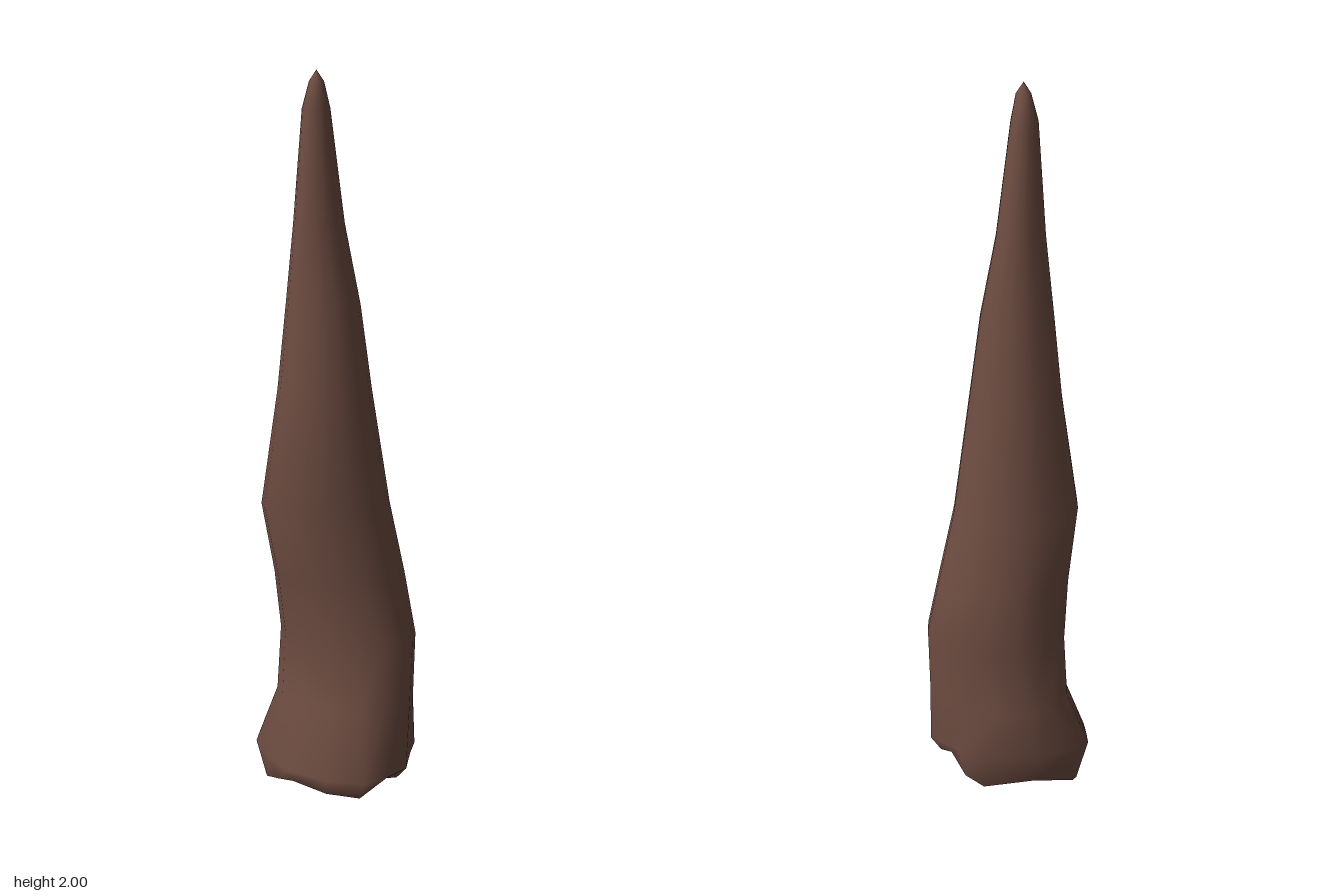
import * as THREE from 'three';

const SIDES = 16;

// Each row: height, then the reach from the axis in eight directions,
// starting at +x and turning towards +z in steps of 45 degrees.
const ROWS = [
  [0.28, 0.21, 0.21, 0.165, 0.125, 0.168, 0.212, 0.205, 0.217],
  [0.46, 0.22, 0.2, 0.135, 0.113, 0.155, 0.196, 0.205, 0.215],
  [0.63, 0.185, 0.175, 0.143, 0.145, 0.172, 0.196, 0.205, 0.212],
  [0.83, 0.145, 0.135, 0.13, 0.183, 0.198, 0.196, 0.165, 0.167],
  [1.15, 0.1, 0.1, 0.13, 0.145, 0.155, 0.152, 0.115, 0.11],
  [1.38, 0.068, 0.075, 0.105, 0.125, 0.133, 0.125, 0.095, 0.08],
  [1.6, 0.025, 0.04, 0.08, 0.11, 0.115, 0.088, 0.065, 0.037],
  [1.9, -0.015, 0.005, 0.043, 0.08, 0.09, 0.07, 0.04, 0.005],
  [1.97, -0.03, -0.008, 0.03, 0.062, 0.07, 0.048, 0.01, -0.022],
];

// Widest outline near the base: x, z pairs
const OUTLINE = [
  [0.225, -0.03], [0.21, 0.03], [0.195, 0.125], [0.14, 0.18],
  [0.075, 0.23], [-0.03, 0.205], [-0.135, 0.14], [-0.185, 0.06],
  [-0.225, -0.05], [-0.215, -0.12], [-0.205, -0.175], [-0.185, -0.2],
  [-0.05, -0.235], [0.115, -0.21], [0.165, -0.15], [0.2, -0.09],
];
// Heights of the broken lower rim and of the hollow inside it
const RIM_Y = [0.08, 0.09, 0.075, 0.09, 0.05, 0.055, 0.07, 0.05,
  0.02, 0, 0.015, 0.02, 0.055, 0.04, 0.05, 0.1];
const HOLLOW_Y = [0.13, 0.08, 0.12, 0.07, 0.1, 0.07, 0.12, 0.06,
  0.06, 0.1, 0.05, 0.11, 0.13, 0.07, 0.12, 0.14];

// Smooth closed cross-section whose extent matches the eight reaches
function sectionRing([y, ...reach]) {
  const terms = [0, 1, 2].map((m) => {
    let a = 0, b = 0;
    reach.forEach((h, k) => {
      a += h * Math.cos((m * k * Math.PI) / 4);
      b += h * Math.sin((m * k * Math.PI) / 4);
    });
    const s = m === 0 ? 1 / 8 : 1 / 4;
    return [m, a * s, b * s];
  });
  return Array.from({ length: SIDES }, (_, i) => {
    const t = (i / SIDES) * Math.PI * 2;
    let h = 0, d = 0;
    for (const [m, a, b] of terms) {
      h += a * Math.cos(m * t) + b * Math.sin(m * t);
      d += m * (b * Math.cos(m * t) - a * Math.sin(m * t));
    }
    return [h * Math.cos(t) - d * Math.sin(t), y, h * Math.sin(t) + d * Math.cos(t)];
  });
}

const outlineRing = (scale, heightAt) =>
  OUTLINE.map(([x, z], i) => [x * scale, heightAt(i), z * scale]);

const pointRing = (x, y, z) => Array.from({ length: SIDES }, () => [x, y, z]);

// Skin a stack of rings, ordered from the bottom up
function loft(rings, flat) {
  const index = [];
  for (let r = 0; r < rings.length - 1; r++) {
    for (let i = 0; i < SIDES; i++) {
      const j = (i + 1) % SIDES;
      const a = r * SIDES + i, b = r * SIDES + j;
      index.push(a, a + SIDES, b, b, a + SIDES, b + SIDES);
    }
  }
  let geometry = new THREE.BufferGeometry();
  geometry.setAttribute('position', new THREE.Float32BufferAttribute(rings.flat(2), 3));
  geometry.setIndex(index);
  if (flat) geometry = geometry.toNonIndexed();
  geometry.computeVertexNormals();
  return geometry;
}

export function createModel() {
  const group = new THREE.Group();
  group.name = 'taperedSpike';
  const brown = new THREE.MeshStandardMaterial({ color: 0x6d4c41 });
  brown.name = 'brown';

  const rim = outlineRing(0.87, (i) => RIM_Y[i]);
  const flare = outlineRing(1, (i) => 0.125 - 0.025 * Math.sin((i / SIDES) * Math.PI * 2));

  // Leaning, tapering shaft with its flared foot
  const shaft = new THREE.Mesh(
    loft([rim, flare, ...ROWS.map(sectionRing), pointRing(-0.05, 2, 0.01)], false), brown);
  shaft.name = 'shaft';

  // Jagged, hollowed underside
  const underside = new THREE.Mesh(
    loft([pointRing(0.01, 0.14, -0.02), outlineRing(0.5, (i) => HOLLOW_Y[i]), rim], true), brown);
  underside.name = 'brokenUnderside';

  group.add(shaft, underside);
  return group;
}
